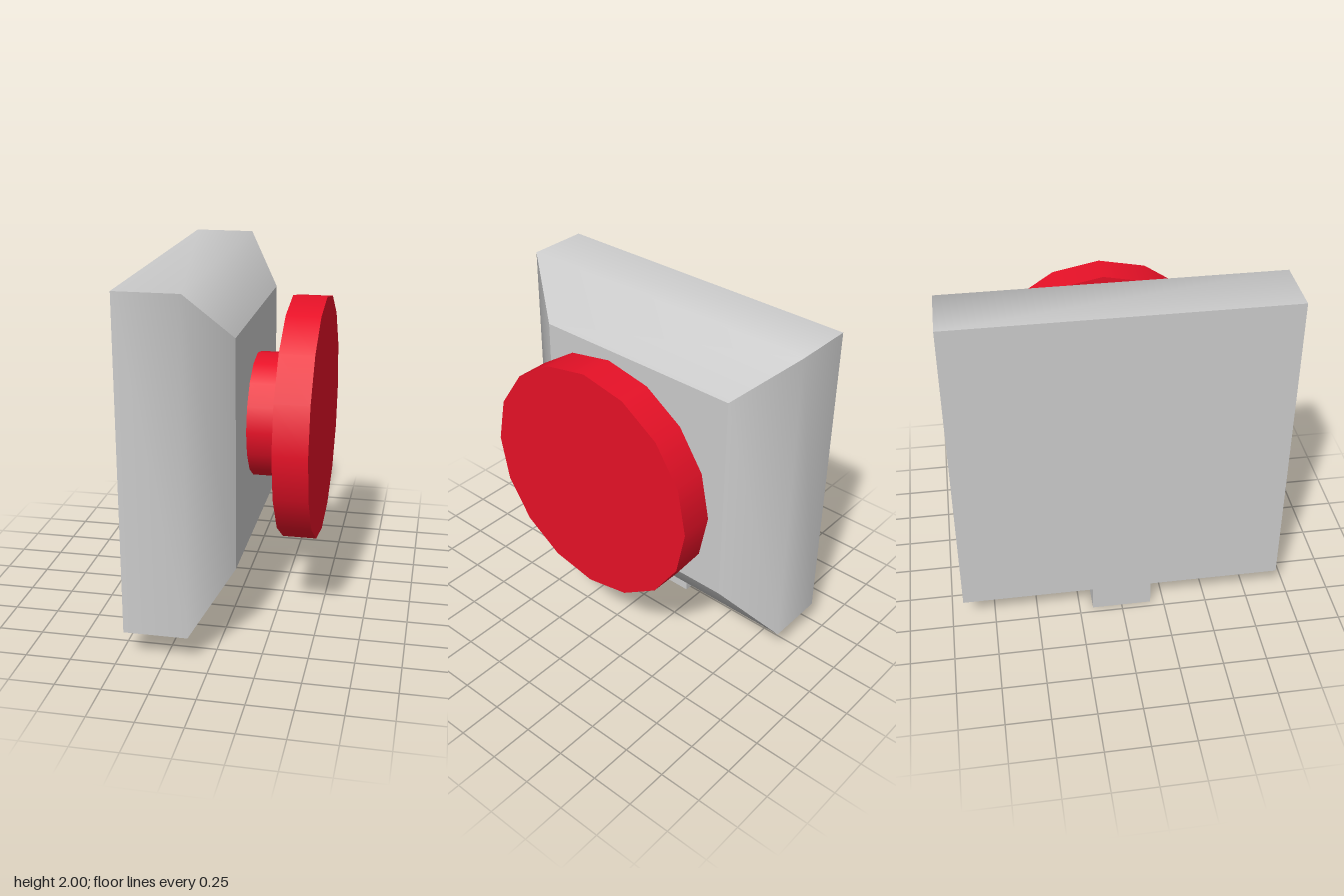
import * as THREE from 'three';

const grey = new THREE.MeshStandardMaterial({ color: 0xcccccc });
const red = new THREE.MeshStandardMaterial({ color: 0xe71127 });

// Rectangular cross-sections of the housing, from back plate to front face
const sections = [
  { x: -0.47, y0: 0.155, y1: 2, z: 0.93 },
  { x: -0.12, y0: 0.155, y1: 2, z: 0.93 },
  { x: 0.085, y0: 0.44, y1: 1.72, z: 0.64 },
];

function housingGeometry() {
  const positions = [], index = [];
  const rings = sections.map(({ x, y0, y1, z }) => [[x, y1, z], [x, y0, z], [x, y0, -z], [x, y1, -z]]);
  const add = (...points) => {
    const start = positions.length / 3;
    points.forEach((p) => positions.push(...p));
    return start;
  };
  const quad = (a, b, c, d) => index.push(a, b, c, a, c, d);

  // Four sides: smooth over the bevel, sharp at the corners
  for (let i = 0; i < 4; i++) {
    const j = (i + 1) % 4;
    const s = add(...rings.flatMap((ring) => [ring[i], ring[j]]));
    for (let k = 0; k < sections.length - 1; k++) {
      const a = s + 2 * k;
      quad(a, a + 1, a + 3, a + 2);
    }
  }
  // Front and back faces
  const front = add(...rings[rings.length - 1]);
  quad(front, front + 1, front + 2, front + 3);
  const back = add(...rings[0]);
  quad(back + 3, back + 2, back + 1, back);

  const geometry = new THREE.BufferGeometry();
  geometry.setAttribute('position', new THREE.Float32BufferAttribute(positions, 3));
  geometry.setIndex(index);
  geometry.computeVertexNormals();
  return geometry;
}

// Sixteen-sided disc lying along x
function disc(name, radius, x0, x1) {
  const geometry = new THREE.CylinderGeometry(radius, radius, x1 - x0, 16);
  geometry.rotateZ(-Math.PI / 2);
  const mesh = new THREE.Mesh(geometry, red);
  mesh.name = name;
  mesh.position.set((x0 + x1) / 2, 1.12, 0);
  return mesh;
}

export function createModel() {
  const group = new THREE.Group();
  group.name = 'pushButton';

  const housing = new THREE.Mesh(housingGeometry(), grey);
  housing.name = 'housing';

  // Small cable inlet under the housing
  const inlet = new THREE.Mesh(new THREE.BoxGeometry(0.255, 0.155, 0.345), grey);
  inlet.name = 'cableInlet';
  inlet.position.set(-0.3375, 0.0775, 0);

  group.add(housing, inlet, disc('buttonStem', 0.355, 0.085, 0.28), disc('buttonCap', 0.69, 0.28, 0.47));
  return group;
}
